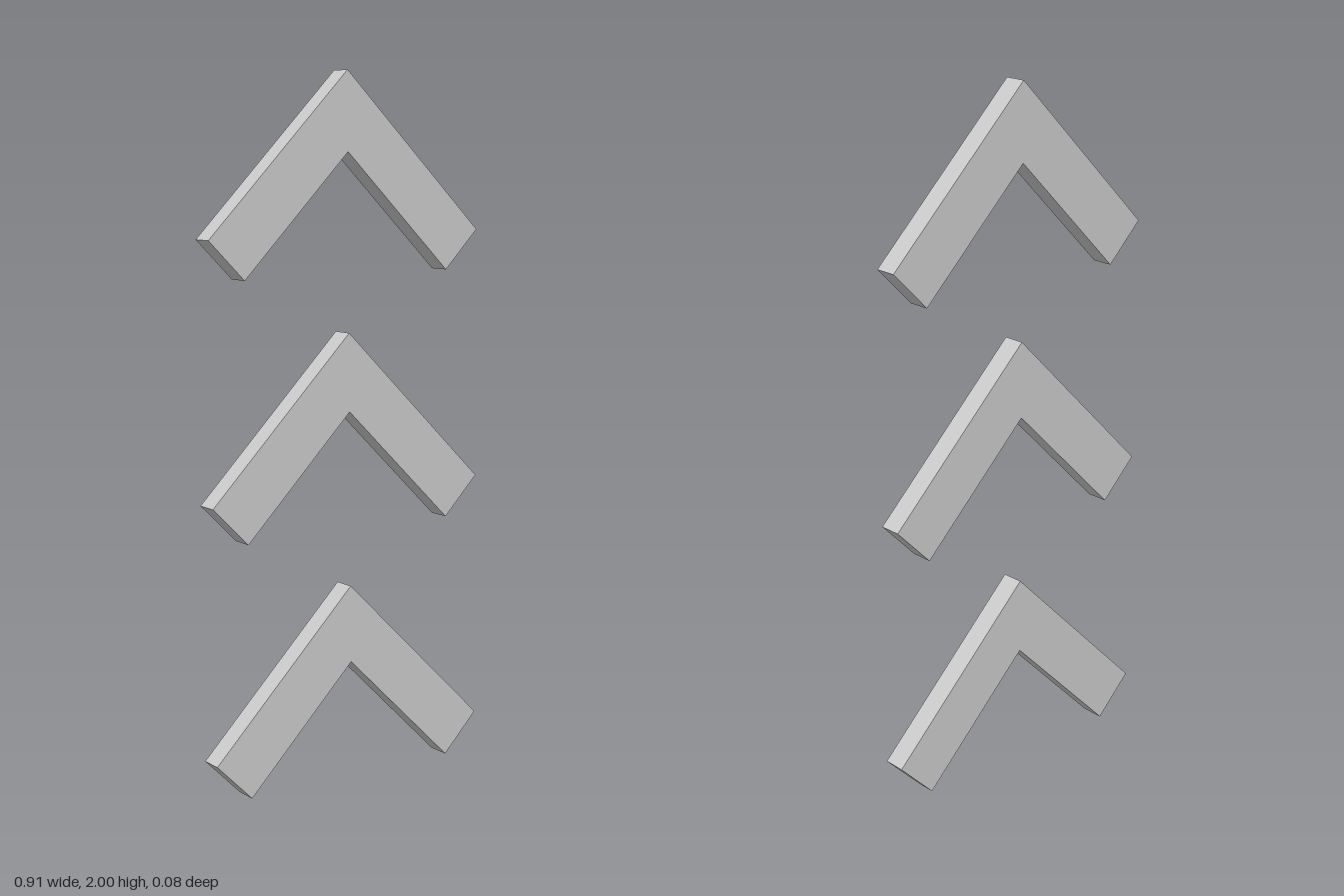
import * as THREE from 'three';

const STEP = 0.719; // vertical spacing of the chevrons
const DEPTH = 0.066;

export function createModel() {
  const model = new THREE.Group();
  model.name = 'chevronStack';
  const material = new THREE.MeshStandardMaterial({ color: 0xcccccc, flatShading: true });

  // Chevron outline with its apex at the origin and arms at 45 degrees
  const shape = new THREE.Shape([
    [0, 0], [-0.447, -0.447], [-0.337, -0.558],
    [0, -0.221], [0.337, -0.558], [0.447, -0.447],
  ].map(([x, y]) => new THREE.Vector2(x, y)));
  const geometry = new THREE.ExtrudeGeometry(shape, { depth: DEPTH, bevelEnabled: false });
  geometry.translate(0, 0, -DEPTH / 2);

  // Three identical chevrons, the whole stack turned very slightly about its middle
  const stack = new THREE.Group();
  stack.name = 'chevrons';
  ['lowerChevron', 'middleChevron', 'upperChevron'].forEach((name, i) => {
    const chevron = new THREE.Mesh(geometry, material);
    chevron.name = name;
    chevron.position.y = 0.5615 - 1 + i * STEP;
    stack.add(chevron);
  });
  stack.position.set(-0.001, 1, 0);
  stack.rotation.set(0.0038, 0.0067, 0.0105);
  model.add(stack);
  return model;
}
